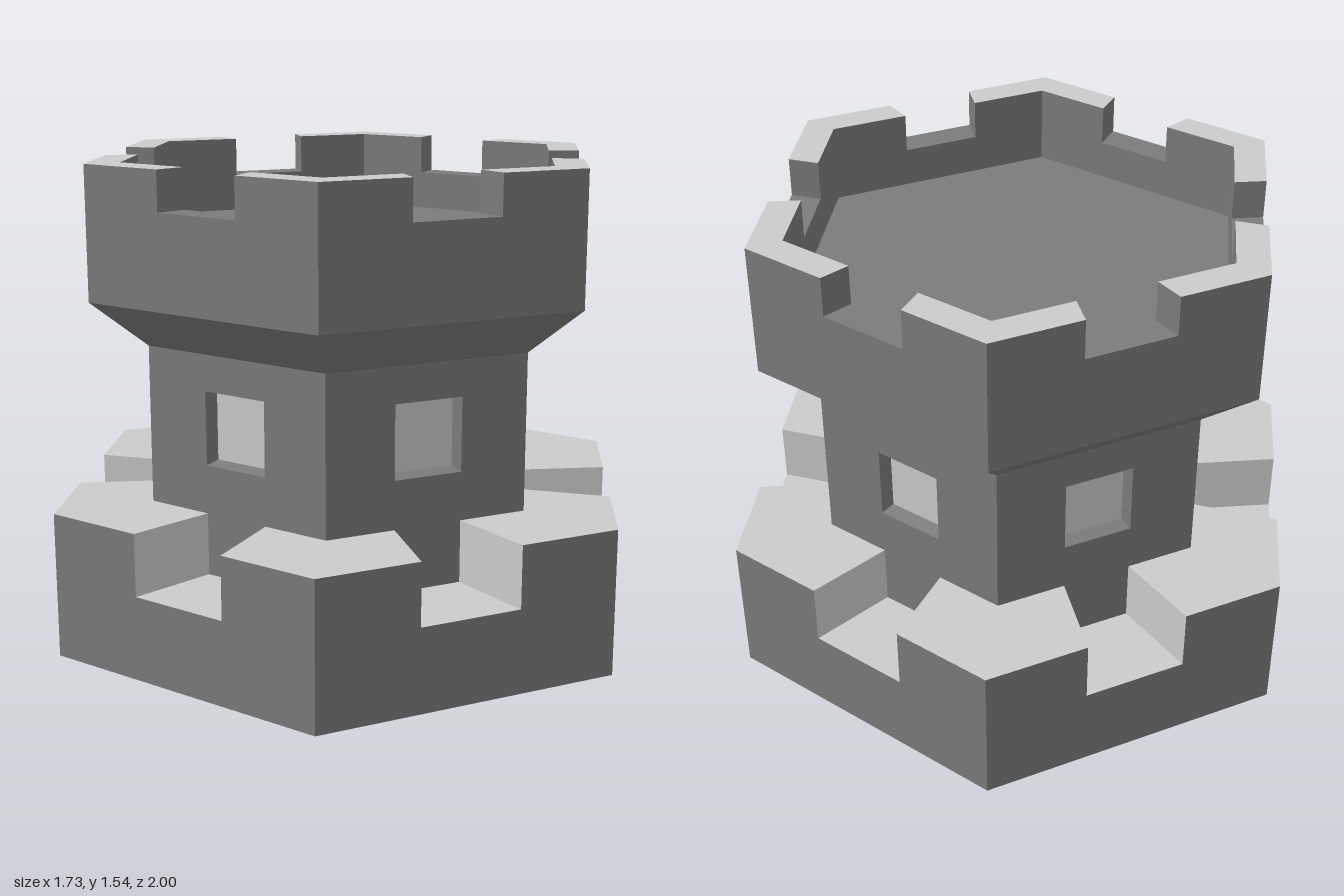
import * as THREE from 'three';

// Each side of the hexagon is divided into thirds: merlon / notch / merlon.
const A = 1 / 3, B = 2 / 3;

const stone = new THREE.MeshStandardMaterial({ color: 0x7b7b7b, flatShading: true, side: THREE.DoubleSide });
const paleStone = new THREE.MeshStandardMaterial({ color: 0xcccccc, flatShading: true, side: THREE.DoubleSide });

// Point on side k of a hexagon of radius r, a fraction t along it, at height y
function point(k, [r, t, y]) {
  const a = k * Math.PI / 3, b = a + Math.PI / 3;
  return [
    r * THREE.MathUtils.lerp(Math.sin(a), Math.sin(b), t),
    y,
    r * THREE.MathUtils.lerp(Math.cos(a), Math.cos(b), t),
  ];
}

// Mesh made of quads (corners as [r, t, y]) repeated on all six sides
function sixfold(name, material, quads) {
  const pos = [];
  for (let k = 0; k < 6; k++) {
    for (const q of quads) {
      for (const i of [0, 1, 2, 0, 2, 3]) pos.push(...point(k, q[i]));
    }
  }
  const geo = new THREE.BufferGeometry();
  geo.setAttribute('position', new THREE.Float32BufferAttribute(pos, 3));
  geo.computeVertexNormals();
  const mesh = new THREE.Mesh(geo, material);
  mesh.name = name;
  return mesh;
}

// Strip between two rings, from t0 to t1 along the side
const strip = (r1, y1, r2, y2, t0 = 0, t1 = 1) =>
  [[r1, t0, y1], [r1, t1, y1], [r2, t1, y2], [r2, t0, y2]];

// The two facing cheeks of an opening, from outer radius ro to inner radius ri
const cheeks = (ro, ri, o0, o1, i0 = o0, i1 = o1) => [
  [[ro, A, o0], [ri, A, i0], [ri, A, i1], [ro, A, o1]],
  [[ri, B, i0], [ro, B, o0], [ro, B, o1], [ri, B, i1]],
];

// Wall with a notch cut into its upper edge
const notchedWall = (r, y0, notch, y1) => [
  strip(r, y0, r, notch),
  strip(r, notch, r, y1, 0, A),
  strip(r, notch, r, y1, B, 1),
];

// Tops of the two merlons on a side
const merlonTops = (ro, ri, y) => [strip(ro, y, ri, y, 0, A), strip(ro, y, ri, y, B, 1)];

export function createModel() {
  const group = new THREE.Group();
  group.name = 'castleTower';

  const base = { r: 1, top: 0.47, notch: 0.27 };
  const tower = { r: 0.677, top: 0.975 };
  const win = { r: 0.625, y0: 0.625, y1: 0.86, in0: 0.635, in1: 0.848 };
  const crown = { r: 0.863, inner: 0.75, bottom: 1.125, notch: 1.42, top: 1.545, deck: 1.295 };

  // Low outer wall, open underneath
  group.add(sixfold('baseWall', stone, notchedWall(base.r, 0, base.notch, base.top)));
  group.add(sixfold('baseBattlements', paleStone, [
    ...merlonTops(base.r, tower.r, base.top),
    strip(base.r, base.notch, tower.r, base.notch, A, B),
    ...cheeks(base.r, tower.r, base.notch, base.top),
  ]));

  // Tower shaft with a window opening in each side
  group.add(sixfold('towerWall', stone, [
    strip(tower.r, base.notch, tower.r, win.y0),
    strip(tower.r, win.y0, tower.r, win.y1, 0, A),
    strip(tower.r, win.y0, tower.r, win.y1, B, 1),
    strip(tower.r, win.y1, tower.r, tower.top),
  ]));
  group.add(sixfold('windowReveals', stone, [
    strip(tower.r, win.y0, win.r, win.in0, A, B),
    strip(win.r, win.in1, tower.r, win.y1, A, B),
    ...cheeks(tower.r, win.r, win.y0, win.y1, win.in0, win.in1),
  ]));
  group.add(sixfold('windowPanes', paleStone, [strip(win.r, win.in0, win.r, win.in1, A, B)]));

  // Flared underside of the crown
  group.add(sixfold('flare', stone, [strip(tower.r, tower.top, crown.r, crown.bottom)]));

  // Crown parapet: outer wall, inner wall and notch surfaces
  group.add(sixfold('parapetWall', stone, [
    ...notchedWall(crown.r, crown.bottom, crown.notch, crown.top),
    strip(crown.inner, crown.notch, crown.inner, crown.deck),
    strip(crown.inner, crown.top, crown.inner, crown.notch, 0, A),
    strip(crown.inner, crown.top, crown.inner, crown.notch, B, 1),
    strip(crown.r, crown.notch, crown.inner, crown.notch, A, B),
    ...cheeks(crown.r, crown.inner, crown.notch, crown.top),
  ]));
  group.add(sixfold('parapetTops', paleStone, merlonTops(crown.r, crown.inner, crown.top)));

  // Hexagonal roof deck
  const deck = new THREE.Mesh(new THREE.CircleGeometry(crown.inner, 6, Math.PI / 2), stone);
  deck.name = 'deck';
  deck.rotation.x = -Math.PI / 2;
  deck.position.y = crown.deck;
  group.add(deck);

  return group;
}
